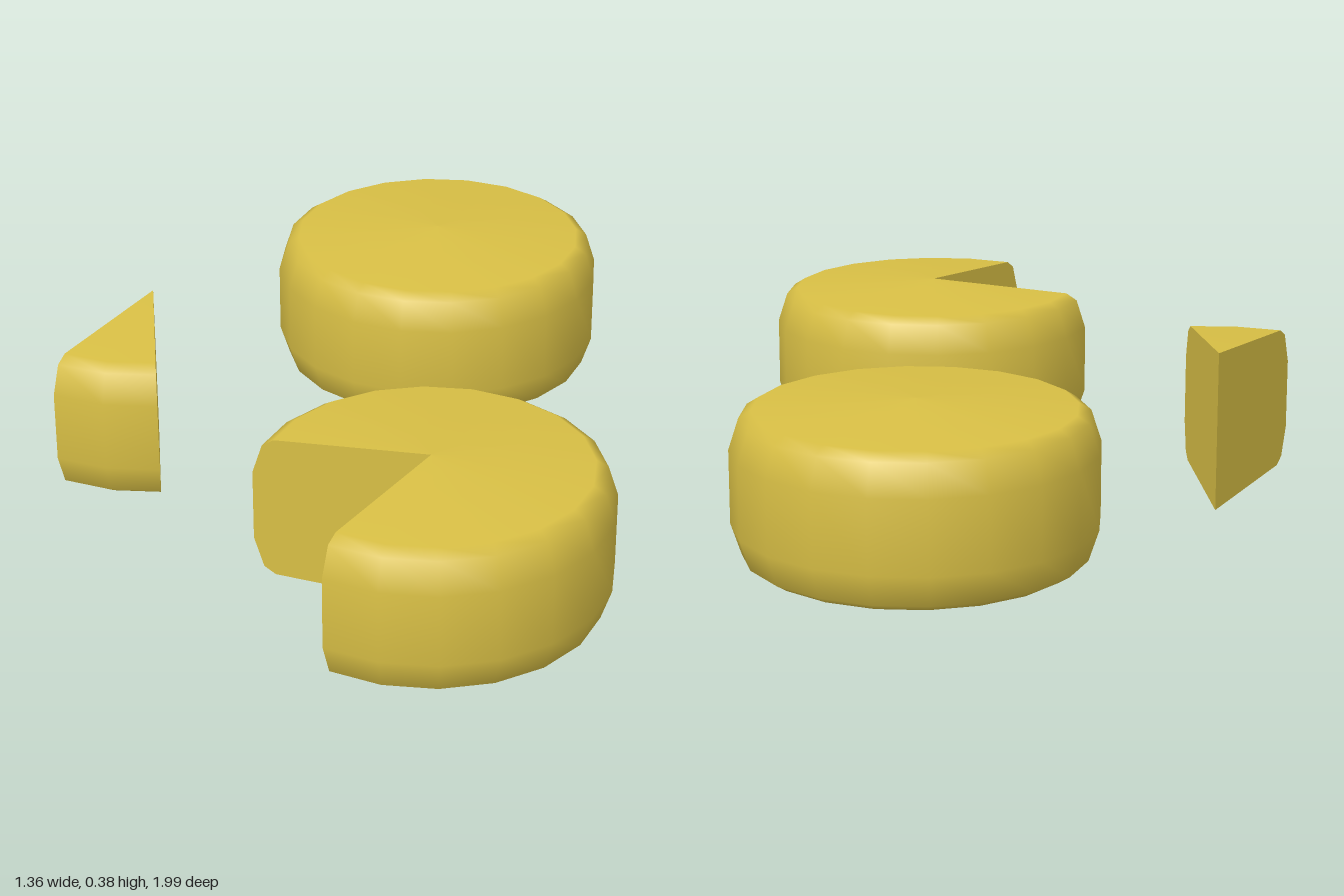
import * as THREE from 'three';

const rad = THREE.MathUtils.degToRad;

// Half profile of the cheese wheel, bottom centre to top centre
const profile = [
  [0, 0.001], [0.355, 0.02], [0.382, 0.037], [0.405, 0.107],
  [0.405, 0.273], [0.382, 0.343], [0.355, 0.36], [0, 0.379],
].map(([r, y]) => new THREE.Vector2(r, y));

export function createModel() {
  const model = new THREE.Group();
  const cheese = new THREE.MeshStandardMaterial({ color: 0xd8bf45 });
  cheese.name = 'cheeseYellow';

  // Flat cut face; side -1 closes the start of a sweep, +1 closes its end
  function cutFace(angle, side) {
    const shape = new THREE.Shape(profile.map(p => new THREE.Vector2(-side * p.x, p.y)));
    const geometry = new THREE.ShapeGeometry(shape);
    geometry.rotateY(rad(angle + side * 90));
    const mesh = new THREE.Mesh(geometry, cheese);
    mesh.name = side < 0 ? 'startCutFace' : 'endCutFace';
    return mesh;
  }

  // Wheel or part of one, in 18 degree steps
  function addPiece(name, x, z, start, sweep) {
    const piece = new THREE.Group();
    piece.name = name;
    const rind = new THREE.Mesh(
      new THREE.LatheGeometry(profile, sweep / 18, rad(start), rad(sweep)), cheese);
    rind.name = 'rind';
    piece.add(rind);
    if (sweep < 360) piece.add(cutFace(start, -1), cutFace(start + sweep, 1));
    piece.position.set(x, 0, z);
    model.add(piece);
  }

  addPiece('wholeWheel', 0.02, -0.595, 0, 360);
  addPiece('cutWheel', 0.272, 0.589, -20.4, 288);
  addPiece('wedge', -0.563, -0.054, -17, 36);
  return model;
}
